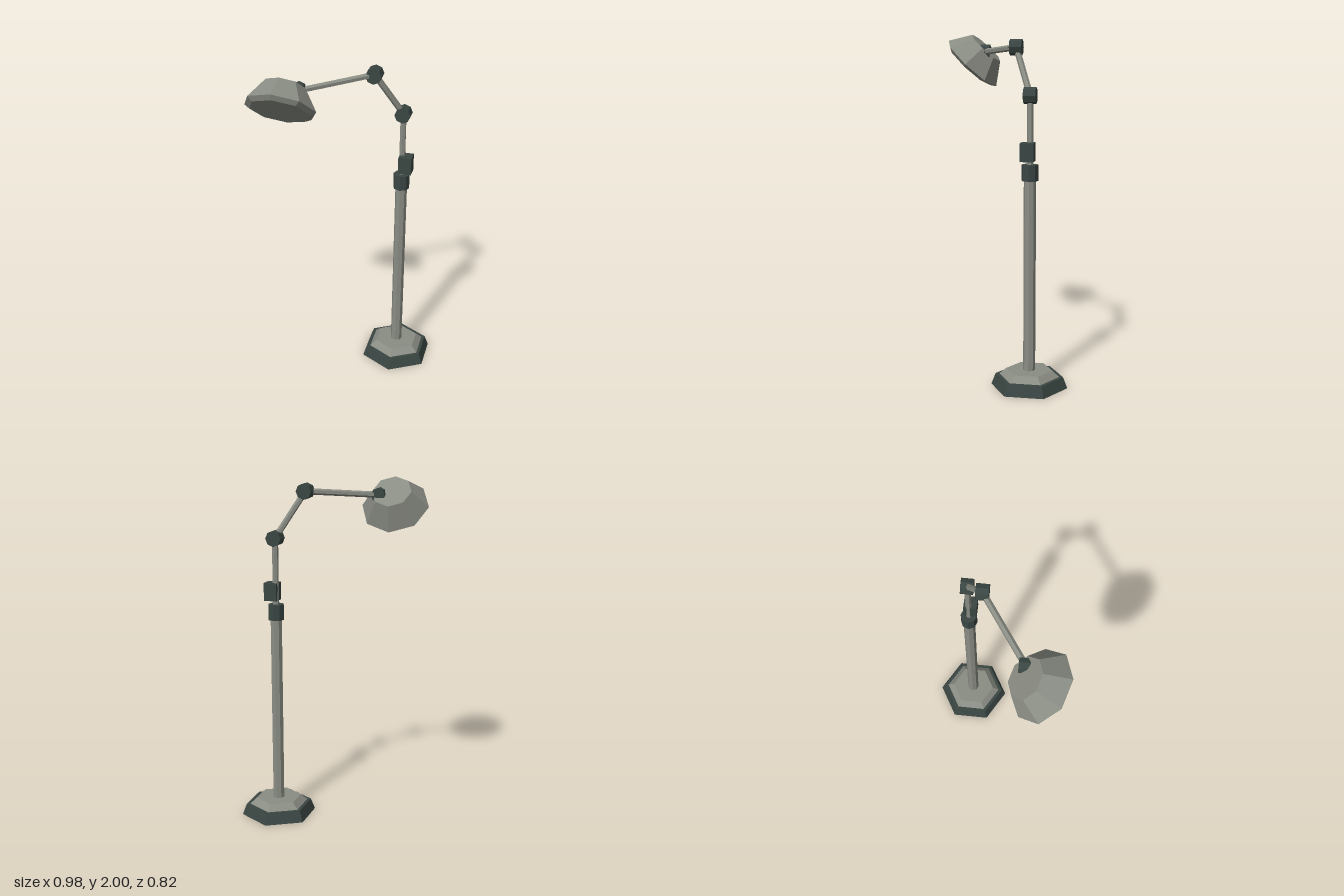
import * as THREE from 'three';

export function createModel() {
  const lamp = new THREE.Group();
  lamp.name = 'floorLamp';

  const grey = new THREE.MeshStandardMaterial({ color: 0x8a8d84, flatShading: true });
  grey.name = 'warm grey metal';
  const dark = new THREE.MeshStandardMaterial({ color: 0x3a4643, flatShading: true });
  dark.name = 'dark green grey';

  const add = (name, geometry, material, x, y, z, parent = lamp) => {
    const mesh = new THREE.Mesh(geometry, material);
    mesh.name = name;
    mesh.position.set(x, y, z);
    parent.add(mesh);
    return mesh;
  };

  // Upright cylinder or taper between two heights
  const column = (name, material, rTop, rBottom, y0, y1, sides, x, z, parent) =>
    add(name, new THREE.CylinderGeometry(rTop, rBottom, y1 - y0, sides), material, x, (y0 + y1) / 2, z, parent);

  // Straight rod between two points
  const rod = (name, a, b, radius) => {
    const dir = b.clone().sub(a);
    const mid = a.clone().add(b).multiplyScalar(0.5);
    const mesh = add(name, new THREE.CylinderGeometry(radius, radius, dir.length(), 6), grey, mid.x, mid.y, mid.z);
    mesh.quaternion.setFromUnitVectors(new THREE.Vector3(0, 1, 0), dir.normalize());
  };

  // Hexagonal foot and upright
  const X = 0.295, Z = -0.19;
  column('footBase', dark, 0.197, 0.222, 0, 0.065, 6, X, Z);
  column('footTop', grey, 0.135, 0.175, 0.065, 0.1, 6, X, Z);
  column('pole', grey, 0.035, 0.035, 0.1, 1.2, 8, X, Z);
  column('collar', dark, 0.048, 0.048, 1.2, 1.29, 8, X, Z);
  column('upperPole', grey, 0.018, 0.018, 1.29, 1.67, 6, X, Z);
  add('switchBox', new THREE.BoxGeometry(0.077, 0.104, 0.076), dark, 0.32, 1.363, -0.18);

  // Jointed arm
  const joints = {
    lowerJoint: new THREE.Vector3(X, 1.672, -0.189),
    elbowJoint: new THREE.Vector3(0.147, 1.932, -0.086),
    headJoint: new THREE.Vector3(-0.217, 1.9, 0.17),
  };
  for (const [name, p] of Object.entries(joints)) {
    const r = name === 'headJoint' ? 0.042 : 0.046;
    add(name, new THREE.CylinderGeometry(r, r, 0.07, 8), dark, p.x, p.y, p.z).rotation.x = Math.PI / 2;
  }
  rod('lowerArm', joints.lowerJoint, joints.elbowJoint, 0.018);
  rod('upperArm', joints.elbowJoint, joints.headJoint, 0.018);

  // Tilted octagonal shade with a bevelled underside
  const head = new THREE.Group();
  head.name = 'lampHead';
  head.position.set(-0.29, 1.828, 0.261);
  head.rotation.x = -0.75;
  lamp.add(head);
  column('shade', grey, 0.117, 0.202, 0, 0.128, 8, 0, 0, head);
  column('shadeRim', grey, 0.202, 0.17, -0.02, 0, 8, 0, 0, head);

  return lamp;
}
